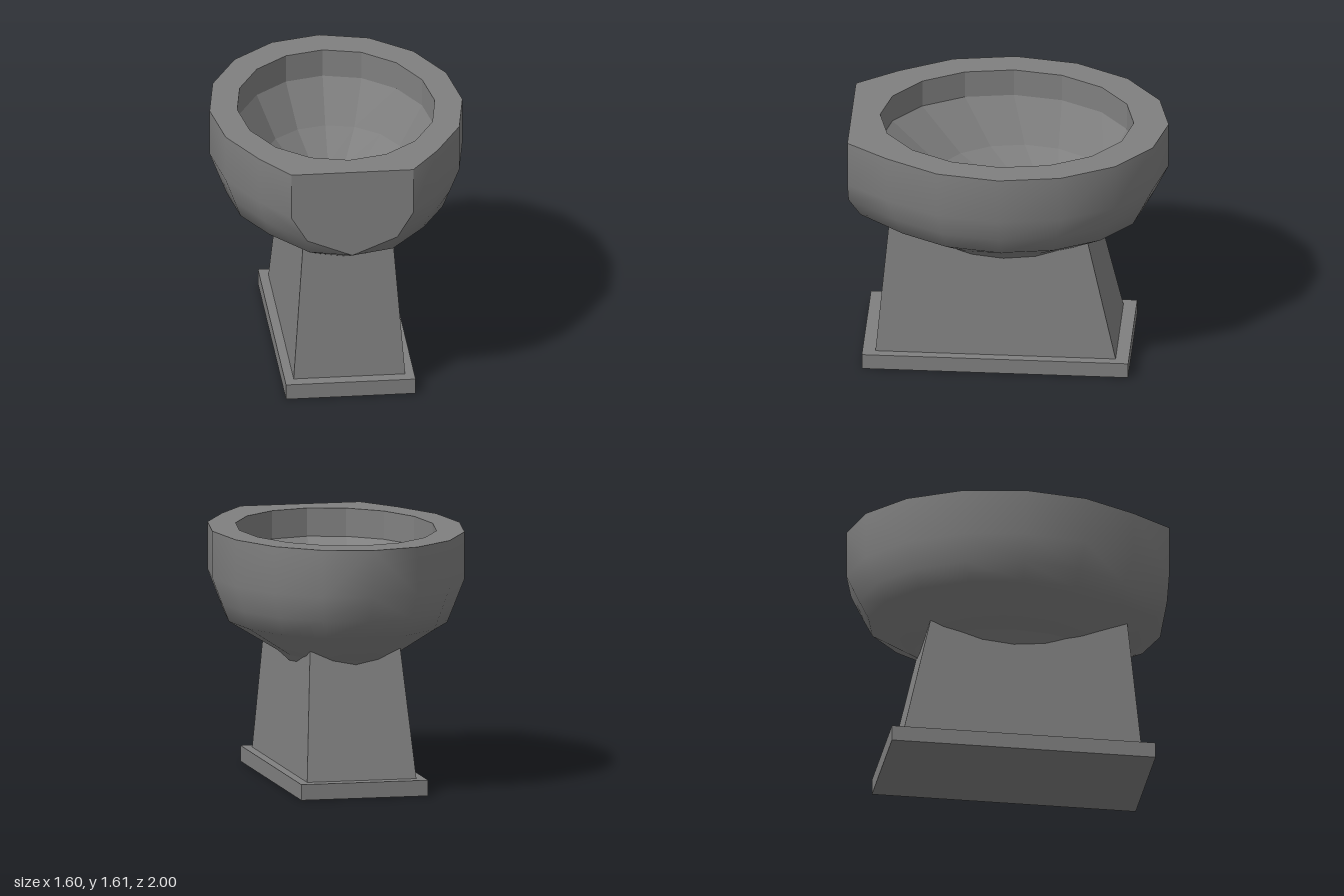
import * as THREE from 'three';
import { mergeVertices } from 'three/addons/utils/BufferGeometryUtils.js';

const N = 16; // columns around the bowl, starting at the front and turning towards +x
const FRONT = 1; // plane of the flat front
const ZC = 0.02; // centre of the bowl
const angle = (i) => (i / N) * Math.PI * 2;

// Outer levels, bottom to top: half width, depth, depth of the nose, height
const LEVELS = [
  [0.285, 0.475, 0.49, 0.755],
  [0.376, 0.583, 0.6, 0.838],
  [0.692, 0.88, 0.98, 1.03],
  [0.737, 0.94, 1.065, 1.145],
  [0.8, 1.02, 1.185, 1.31],
  [0.8, 1.02, 1.185, 1.61],
];

// Skin between closed rings of points; outward when rings rise, mirrored diagonals
function loft(rings) {
  const pos = [];
  const n = rings[0].length;
  for (let j = 0; j < rings.length - 1; j++) {
    for (let i = 0; i < n; i++) {
      const k = (i + 1) % n;
      const a = rings[j][i], b = rings[j][k], c = rings[j + 1][k], d = rings[j + 1][i];
      const tris = i < n / 2 ? [a, b, c, a, c, d] : [a, b, d, b, c, d];
      tris.forEach((p) => pos.push(p.x, p.y, p.z));
    }
  }
  const g = new THREE.BufferGeometry();
  g.setAttribute('position', new THREE.Float32BufferAttribute(pos, 3));
  g.computeVertexNormals();
  return g;
}

// Oval ring; the nose depth applies to the three front columns
function oval(rx, rz, zc, y, nose = rz) {
  return Array.from({ length: N }, (_, i) => new THREE.Vector3(
    rx * Math.sin(angle(i)), y,
    zc + (i < 2 || i === N - 1 ? nose : rz) * Math.cos(angle(i))));
}

const outerRing = ([rx, rz, nose, y]) => oval(rx, rz, ZC, y, nose);

// Ring cut off at the flat front
function cutRing(ring) {
  const pts = ring.map((p) => p.clone());
  for (const [i, k] of [[1, 2], [N - 1, N - 2]]) {
    const p = pts[i], q = pts[k];
    if (p.z > FRONT) p.lerp(q, (p.z - FRONT) / (p.z - q.z));
  }
  pts[0].z = Math.min(pts[0].z, FRONT);
  return pts;
}

// Bowl skin: smooth normals of the full oval, level normals on the flat front
function bowlGeometry(rings) {
  const full = loft(rings);
  full.deleteAttribute('normal');
  const merged = mergeVertices(full);
  merged.computeVertexNormals();
  const g = loft(rings.map(cutRing));
  const normal = merged.toNonIndexed().getAttribute('normal');
  g.setAttribute('normal', normal);
  const pos = g.getAttribute('position');
  for (let t = 0; t < pos.count; t += 3) {
    const corners = [t, t + 1, t + 2];
    if (corners.every((v) => pos.getZ(v) > FRONT - 0.001)) {
      corners.forEach((v) => normal.setXYZ(v, 0, 0, 1));
    }
  }
  return g;
}

// Height of the bowl's underside above a point on plan
function undersideY(x, z) {
  const reach = ([rx, rz, nose]) => Math.hypot(x / rx, (z - ZC) / (z > ZC ? nose : rz)) - 1;
  for (let j = 0; j < LEVELS.length - 1; j++) {
    const e0 = Math.max(0, reach(LEVELS[j])), e1 = reach(LEVELS[j + 1]);
    if (e1 <= 0) return THREE.MathUtils.lerp(LEVELS[j][3], LEVELS[j + 1][3], e0 / (e0 - e1));
  }
  return 1.31;
}

// Tapered pedestal walls whose top edge follows the underside of the bowl
function pedestalGeometry() {
  const at = (u, v, y) => {
    const h = y - 0.1;
    const front = 0.825 - 0.091 * h, back = -0.69 + 0.225 * h;
    return new THREE.Vector3(u * (0.353 - 0.076 * h), y, THREE.MathUtils.lerp(back, front, (v + 1) / 2));
  };
  const corners = [[-1, 1], [1, 1], [1, -1], [-1, -1]];
  const low = [], high = [];
  corners.forEach(([u0, v0], s) => {
    const [u1, v1] = corners[(s + 1) % 4];
    for (let i = 0; i < 12; i++) {
      const t = i / 12, u = u0 + (u1 - u0) * t, v = v0 + (v1 - v0) * t;
      let y = 0.85;
      for (let k = 0; k < 8; k++) {
        const p = at(u, v, y);
        y = undersideY(p.x, p.z) + 0.02;
      }
      low.push(at(u, v, 0.1));
      high.push(at(u, v, y));
    }
  });
  return loft([low, high]);
}

export function createModel() {
  const group = new THREE.Group();
  const smooth = new THREE.MeshStandardMaterial({ color: 0x808080 });
  const flat = new THREE.MeshStandardMaterial({ color: 0x808080, flatShading: true });
  const add = (name, geometry, material) => {
    const mesh = new THREE.Mesh(geometry, material);
    mesh.name = name;
    group.add(mesh);
    return mesh;
  };

  // Floor plate
  add('base', new THREE.BoxGeometry(0.82, 0.1, 1.68), flat).position.set(0, 0.05, 0.067);

  // Foot
  add('pedestal', pedestalGeometry(), flat);

  // Faceted neck under the bowl, mostly inside the foot
  const outer = LEVELS.map(outerRing);
  add('neck', loft(outer.slice(0, 2)), flat);

  // Rounded outside of the bowl with its flat front
  add('bowl', bowlGeometry(outer.slice(1)), smooth);

  // Flat rim
  const opening = oval(0.625, 0.8, ZC, 1.61);
  add('rim', loft([cutRing(outer[outer.length - 1]), opening]), flat);

  // Faceted basin falling to the drain
  const throat = oval(0.27, 0.285, -0.175, 0.97);
  add('basin', loft([
    opening,
    oval(0.625, 0.8, ZC, 1.43),
    oval(0.47, 0.56, -0.06, 1.16),
    throat,
  ]), flat);

  // Drain well and its floor
  add('drain', loft([
    throat,
    oval(0.255, 0.27, -0.175, 0.9),
    oval(0.2, 0.213, -0.138, 0.81),
    oval(0.001, 0.001, -0.138, 0.81),
  ]), flat);

  return group;
}
